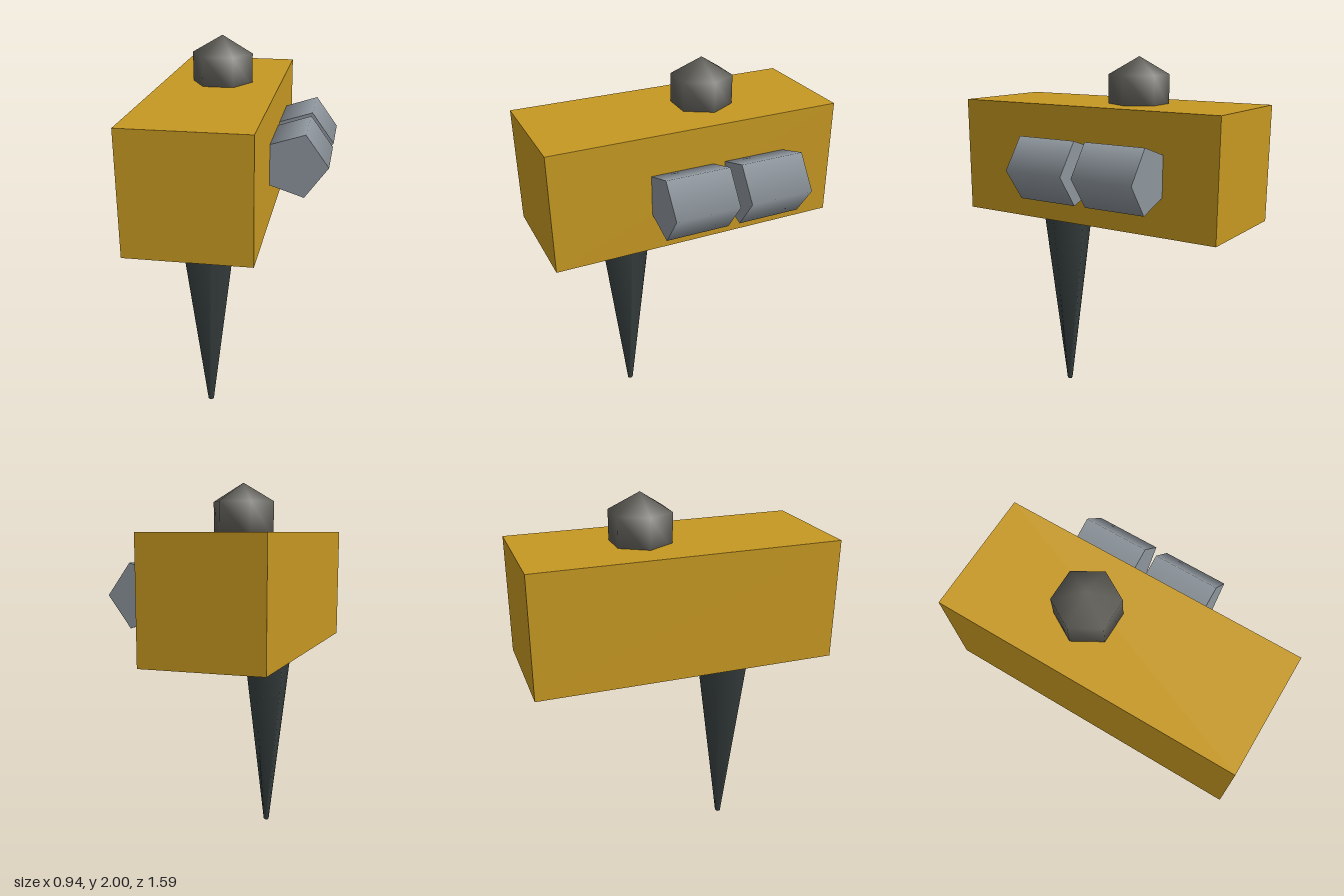
import * as THREE from 'three';

const material = (name, color) => {
  const m = new THREE.MeshStandardMaterial({ color });
  m.name = name;
  return m;
};

export function createModel() {
  const model = new THREE.Group();
  model.name = 'model';

  const yellow = material('ochreYellow', 0xc69822);
  const steel = material('steelGrey', 0x8c949b);
  const boltGrey = material('darkWarmGrey', 0x5c5b55);
  const spikeGrey = material('darkSlate', 0x384040);

  const add = (name, geometry, mat, x, y, z) => {
    const mesh = new THREE.Mesh(geometry, mat);
    mesh.name = name;
    mesh.position.set(x, y, z);
    model.add(mesh);
  };

  // Long block body
  add('body', new THREE.BoxGeometry(0.635, 0.635, 1.59), yellow, -0.152, 1.433, 0);

  // Five-sided tapering spike, one corner towards +x
  const spikeHeight = 1.125;
  add('spike', new THREE.CylinderGeometry(0.158, 0.0157, spikeHeight, 5, 1, false, Math.PI / 2),
    spikeGrey, -0.152, spikeHeight / 2, 0.319);

  // Coarse six-sided dome, half sunk into the top
  add('topKnob', new THREE.SphereGeometry(0.189, 6, 3), boltGrey, -0.152, 1.811, -0.16);

  // Two five-sided barrels along z, set into the left side
  const barrel = new THREE.CylinderGeometry(0.1755, 0.1755, 0.347, 5, 1, false, Math.PI / 2);
  barrel.rotateX(Math.PI / 2);
  [['frontBarrel', 0.094], ['rearBarrel', -0.318]].forEach(([name, z]) =>
    add(name, barrel, steel, 0.29, 1.431, z));

  return model;
}
